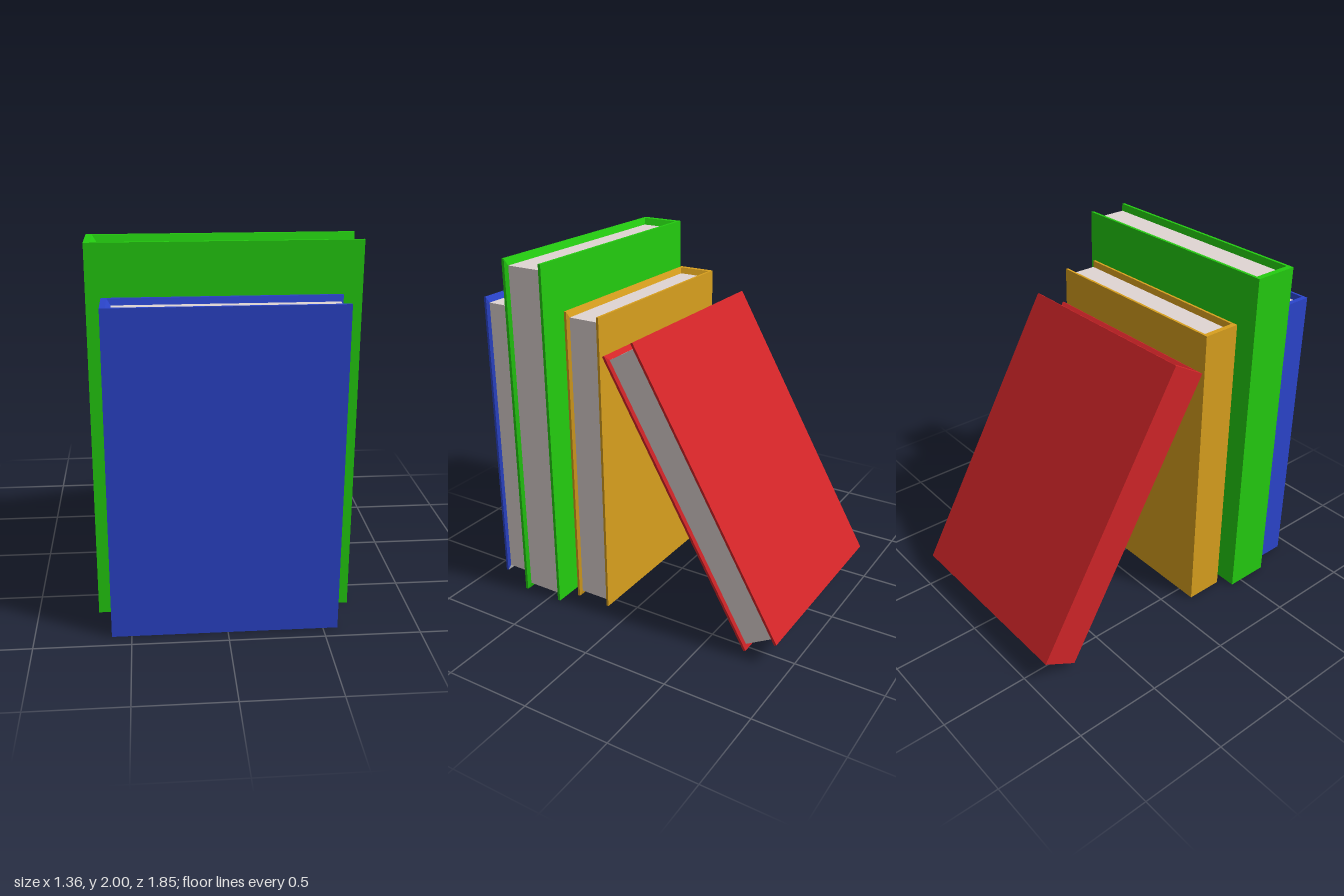
import * as THREE from 'three';

const PAGE = 0xe0d6d3;
const GREY = 0xcccccc;

// Flat-shaded mesh from a list of four-cornered faces
function quadMesh(name, quads, color) {
  const pos = [];
  for (const [a, b, c, d] of quads) pos.push(...a, ...b, ...c, ...a, ...c, ...d);
  const geo = new THREE.BufferGeometry();
  geo.setAttribute('position', new THREE.Float32BufferAttribute(pos, 3));
  geo.computeVertexNormals();
  const mesh = new THREE.Mesh(geo, new THREE.MeshStandardMaterial({ color }));
  mesh.name = name;
  return mesh;
}

// Eight corners: a U round the spine along the top, then back along the bottom
function ring(spineX, edgeX, bottom, top, z) {
  return [
    [edgeX, top, -z], [spineX, top, -z], [spineX, top, z], [edgeX, top, z],
    [edgeX, bottom, z], [spineX, bottom, z], [spineX, bottom, -z], [edgeX, bottom, -z],
  ];
}

// A book centred on its own origin, spine at -x, page edges at +x
function makeBook({ name, width, height, depth, color, footColor = color }) {
  const s = height / 1.738;
  const x = width / 2, y = height / 2, z = depth / 2;
  const outer = ring(-x, x, -y, y, z);
  const rim = ring(-x + 0.028 * s, x, -y, y, z - 0.014 * s);
  const inner = ring(-x + 0.048 * s, x - 0.015 * s, -y + 0.032 * s, y - 0.032 * s, z - 0.025 * s);

  const cover = [], foot = [];
  // Front cover, spine and back cover
  for (let i = 0; i < 3; i++) cover.push([outer[i], outer[7 - i], outer[6 - i], outer[i + 1]]);
  // Flat rim, then the bevel running in to the pages
  for (const [a, b] of [[outer, rim], [rim, inner]]) {
    for (let i = 0; i < 8; i++) {
      const j = (i + 1) % 8;
      (i >= 4 && i <= 6 ? foot : cover).push([a[i], a[j], b[j], b[i]]);
    }
  }
  // Underside
  foot.push([inner[4], inner[5], inner[6], inner[7]]);

  // Top and fore edge of the page block
  const pages = [
    [inner[0], inner[1], inner[2], inner[3]],
    [inner[0], inner[3], inner[4], inner[7]],
  ];

  const book = new THREE.Group();
  book.name = name;
  book.add(
    quadMesh('cover', cover, color),
    quadMesh('coverUnderside', foot, footColor),
    quadMesh('pages', pages, PAGE),
  );
  return book;
}

export function createModel() {
  const model = new THREE.Group();
  model.name = 'bookRow';
  const small = { width: 1.18, height: 1.738, depth: 0.22 };

  const blue = makeBook({ name: 'blueBook', ...small, color: 0x2b45cc, footColor: GREY });
  blue.position.set(-0.013, 0.869, 0.814);

  const green = makeBook({ name: 'greenBook', width: 1.356, height: 2, depth: 0.257, color: 0x24cd10 });
  green.position.set(0, 1, 0.555);

  const yellow = makeBook({ name: 'yellowBook', ...small, color: 0xd9a01e });
  yellow.position.set(-0.013, 0.869, 0.261);

  // Leaning against the row
  const red = makeBook({ name: 'leaningRedBook', ...small, color: 0xd22528 });
  red.position.set(-0.013, 0.833, -0.395);
  red.rotation.x = Math.PI / 6;

  model.add(blue, green, yellow, red);
  return model;
}
